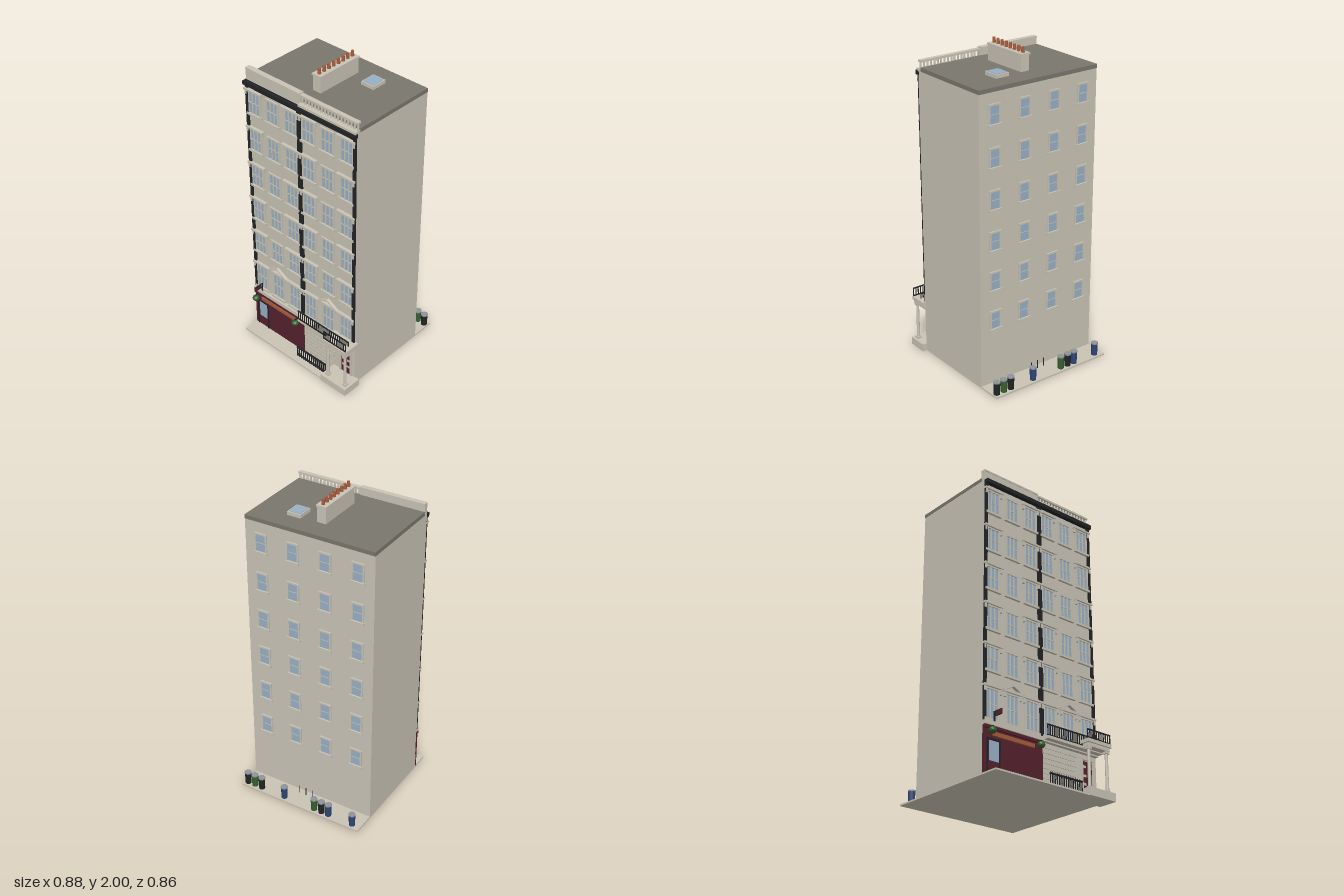
import * as THREE from 'three';

const mat = (name, color) => {
  const m = new THREE.MeshStandardMaterial({ color });
  m.name = name;
  return m;
};

export function createModel() {
  const stone = mat('stone', 0xc9c3b5), roofGrey = mat('roofGrey', 0x79766c), black = mat('black', 0x222325);
  const glass = mat('glass', 0x97b0c5), maroon = mat('maroon', 0x55212d), clay = mat('terracotta', 0xa55c3c);
  const green = mat('green', 0x35602f), blue = mat('blue', 0x2d4577), lidGrey = mat('lidGrey', 0x8f9498);
  green.flatShading = true;

  const root = new THREE.Group();
  root.name = 'townhouses';
  const group = (name, parent = root) => {
    const g = new THREE.Group();
    g.name = name;
    parent.add(g);
    return g;
  };
  const add = (parent, name, geo, material, x = 0, y = 0, z = 0) => {
    const m = new THREE.Mesh(geo, material);
    m.name = name;
    m.position.set(x, y, z);
    parent.add(m);
    return m;
  };
  // box given by its limits on each axis
  const box = (parent, name, material, [x0, x1], [y0, y1], [z0, z1]) =>
    add(parent, name, new THREE.BoxGeometry(x1 - x0, y1 - y0, z1 - z0), material,
      (x0 + x1) / 2, (y0 + y1) / 2, (z0 + z1) / 2);
  const cyl = (parent, name, material, r0, r1, [y0, y1], x, z, n = 12) =>
    add(parent, name, new THREE.CylinderGeometry(r1, r0, y1 - y0, n), material, x, (y0 + y1) / 2, z);

  // main block, pavement and roof
  box(root, 'pavement', stone, [-0.44, 0.41], [0, 0.01], [-0.43, 0.42]);
  box(root, 'walls', stone, [-0.44, 0.41], [0.01, 1.835], [-0.278, 0.305]);
  box(root, 'roof', roofGrey, [-0.44, 0.41], [1.835, 1.86], [-0.28, 0.28]);
  box(root, 'cornice', black, [-0.44, 0.412], [1.81, 1.835], [0.3, 0.333]);
  for (const [a, b] of [[-0.44, -0.42], [-0.032, 0], [0.389, 0.409]])
    box(root, 'drainpipeStrip', black, [a, b], [0.31, 1.81], [0.3, 0.315]);
  box(root, 'storeyBand', stone, [-0.44, 0.41], [0.285, 0.31], [0.3, 0.33]);

  // parapet on the left-hand house, balustrade on the other
  box(root, 'parapet', stone, [-0.44, -0.015], [1.835, 1.9], [0.275, 0.303]);
  box(root, 'parapetCap', stone, [-0.44, -0.015], [1.9, 1.91], [0.272, 0.306]);
  const balustrade = group('balustrade');
  box(balustrade, 'balustradeBase', stone, [-0.015, 0.41], [1.835, 1.85], [0.275, 0.32]);
  box(balustrade, 'balustradeRail', stone, [-0.015, 0.41], [1.89, 1.903], [0.275, 0.303]);
  for (let i = 0; i < 18; i++)
    cyl(balustrade, 'baluster', stone, 0.006, 0.006, [1.85, 1.89], -0.005 + i * 0.024, 0.29, 8);

  // front sash window; style: 'lintel', 'plain' or 'pediment'
  const frontWindow = (x, y0, y1, style) => {
    const g = group('frontWindow');
    const w = 0.04;
    box(g, 'pane', glass, [x - w, x + w], [y0, y1], [0.3, 0.307]);
    for (const s of [-1, 1]) {
      box(g, 'jamb', stone, [x + s * 0.046 - 0.006, x + s * 0.046 + 0.006], [y0, y1], [0.3, 0.313]);
      box(g, 'mullion', stone, [x + s * 0.0145 - 0.004, x + s * 0.0145 + 0.004], [y0, y1], [0.3, 0.311]);
    }
    const mid = (y0 + y1) / 2;
    box(g, 'sashBar', stone, [x - w, x + w], [mid - 0.003, mid + 0.003], [0.3, 0.31]);
    box(g, 'sill', stone, [x - 0.058, x + 0.058], [y0 - 0.014, y0], [0.3, 0.32]);
    box(g, 'head', stone, [x - 0.052, x + 0.052], [y1, y1 + 0.01], [0.3, 0.314]);
    if (style === 'plain') return;
    box(g, 'lintel', stone, [x - 0.068, x + 0.068], [y1 + 0.01, y1 + 0.022], [0.3, 0.325]);
    for (const s of [-1, 1])
      box(g, 'console', stone, [x + s * 0.058 - 0.006, x + s * 0.058 + 0.006], [y1 - 0.018, y1 + 0.01], [0.3, 0.32]);
    if (style === 'pediment') {
      const tri = new THREE.Shape([[-0.082, 0], [0.082, 0], [0, 0.045]].map(p => new THREE.Vector2(...p)));
      tri.holes.push(new THREE.Path([[-0.05, 0.007], [0, 0.034], [0.05, 0.007]].map(p => new THREE.Vector2(...p))));
      add(g, 'pediment', new THREE.ExtrudeGeometry(tri, { depth: 0.025, bevelEnabled: false }), stone, x, y1 + 0.02, 0.3);
    }
  };
  for (const cx of [-0.23, 0.195])
    for (let f = 0; f < 6; f++)
      for (const k of [-1, 0, 1]) {
        const y = 0.358 + f * 0.2525;
        frontWindow(cx + k * 0.145, f ? y + 0.005 : 0.328, y + 0.143, k ? 'lintel' : f ? 'plain' : 'pediment');
      }

  // rear windows
  for (const x of [-0.335, -0.122, 0.092, 0.304])
    for (let f = 0; f < 6; f++) {
      const y = 0.365 + f * 0.2545, g = group('rearWindow');
      box(g, 'pane', glass, [x - 0.032, x + 0.032], [y + 0.014, y + 0.12], [-0.281, -0.274]);
      for (const s of [-1, 1])
        box(g, 'jamb', stone, [x + s * 0.036 - 0.005, x + s * 0.036 + 0.005], [y, y + 0.13], [-0.286, -0.274]);
      box(g, 'head', stone, [x - 0.041, x + 0.041], [y + 0.12, y + 0.131], [-0.287, -0.274]);
      box(g, 'sashBar', stone, [x - 0.032, x + 0.032], [y + 0.066, y + 0.069], [-0.283, -0.274]);
      box(g, 'sill', stone, [x - 0.046, x + 0.046], [y, y + 0.014], [-0.292, -0.274]);
    }

  // chimney and skylight
  const chimney = group('chimney');
  box(chimney, 'stack', stone, [-0.045, 0.012], [1.86, 1.955], [-0.145, 0.165]);
  box(chimney, 'stackCap', stone, [-0.05, 0.017], [1.955, 1.967], [-0.15, 0.17]);
  for (let i = 0; i < 8; i++)
    cyl(chimney, 'pot', clay, 0.011, 0.009, [1.967, 2], -0.016, -0.125 + i * 0.0385, 10);
  box(root, 'skylightCurb', stone, [0.112, 0.202], [1.86, 1.882], [-0.16, -0.058]);
  box(root, 'skylightGlass', glass, [0.119, 0.195], [1.88, 1.885], [-0.152, -0.066]);

  // shop front
  const shop = group('shopFront');
  box(shop, 'shopPanel', maroon, [-0.44, -0.015], [0.01, 0.27], [0.3, 0.318]);
  box(shop, 'shopCornice', maroon, [-0.44, -0.015], [0.265, 0.282], [0.3, 0.329]);
  box(shop, 'signBoard', clay, [-0.38, -0.08], [0.228, 0.252], [0.31, 0.327]);
  box(shop, 'shopWindow', glass, [-0.402, -0.336], [0.085, 0.2], [0.315, 0.321]);
  box(shop, 'doorHead', black, [-0.42, -0.325], [0.204, 0.212], [0.31, 0.323]);
  for (const x of [-0.42, -0.333])
    box(shop, 'doorJamb', black, [x, x + 0.008], [0.01, 0.204], [0.31, 0.323]);
  box(shop, 'signPost', black, [-0.373, -0.367], [0.31, 0.372], [0.318, 0.326]);
  box(shop, 'signArm', black, [-0.372, -0.368], [0.366, 0.372], [0.32, 0.387]);
  box(shop, 'hangingSign', maroon, [-0.374, -0.366], [0.34, 0.366], [0.335, 0.386]);
  for (const x of [-0.404, -0.054]) {
    const basket = add(shop, 'hangingBasket', new THREE.IcosahedronGeometry(0.023, 1), green, x, 0.247, 0.35);
    basket.scale.y = 0.9;
    box(shop, 'basketBracket', black, [x - 0.003, x + 0.003], [0.268, 0.273], [0.31, 0.355]);
  }

  // coursed masonry beside the entrance
  for (let r = 0; r < 9; r++)
    for (let c = 0; c < 5; c++) {
      const a = -0.012 + c * 0.056 - (r % 2) * 0.028;
      box(root, 'stoneBlock', stone, [Math.max(a, -0.012), Math.min(a + 0.053, 0.25)],
        [0.014 + r * 0.03, 0.041 + r * 0.03], [0.303, 0.309]);
    }

  // railings along x
  const railing = (name, x0, x1, y0, y1, z, t, spikes) => {
    const g = group(name), n = Math.round((x1 - x0) / 0.018);
    const bars = spikes ? [y0 + 0.01, y1 - 0.018] : [y0, y1 - 0.007];
    for (const y of bars) box(g, 'rail', black, [x0, x1], [y, y + 0.007], [z - t, z + t]);
    for (let i = 0; i <= n; i++) {
      const x = x0 + 0.003 + (x1 - x0 - 0.006) * i / n;
      box(g, 'upright', black, [x - 0.0025, x + 0.0025], [y0, y1 - (spikes ? 0.012 : 0)], [z - 0.0025, z + 0.0025]);
      if (spikes) cyl(g, 'spike', black, 0.005, 0, [y1 - 0.013, y1], x, z, 6);
    }
  };
  railing('areaRailing', -0.015, 0.23, 0.01, 0.1, 0.375, 0.006, true);
  railing('balconyRailing', -0.015, 0.408, 0.31, 0.38, 0.36, 0.003, false);
  railing('porchRailing', 0.247, 0.43, 0.345, 0.403, 0.409, 0.003, false);
  box(root, 'balconySlab', stone, [-0.015, 0.41], [0.293, 0.31], [0.3, 0.365]);

  // entrance porch
  const porch = group('porch');
  box(porch, 'porchStep', stone, [0.237, 0.44], [0, 0.05], [0.3, 0.428]);
  box(porch, 'porchBeam', stone, [0.255, 0.425], [0.3, 0.322], [0.3, 0.408]);
  box(porch, 'porchRoof', stone, [0.245, 0.432], [0.322, 0.343], [0.3, 0.418]);
  for (const x of [0.27, 0.41]) {
    cyl(porch, 'column', stone, 0.0105, 0.009, [0.05, 0.3], x, 0.393, 16);
    box(porch, 'columnBase', stone, [x - 0.014, x + 0.014], [0.05, 0.064], [0.379, 0.407]);
    box(porch, 'columnCapital', stone, [x - 0.014, x + 0.014], [0.286, 0.3], [0.379, 0.407]);
  }
  for (const [a, b] of [[0.288, 0.3], [0.376, 0.388]])
    box(porch, 'doorJamb', stone, [a, b], [0.05, 0.26], [0.3, 0.315]);
  box(porch, 'doorHead', stone, [0.288, 0.388], [0.25, 0.262], [0.3, 0.317]);
  box(porch, 'door', maroon, [0.302, 0.374], [0.05, 0.245], [0.3, 0.308]);
  for (const x of [0.318, 0.358])
    for (const [a, b] of [[0.1, 0.115], [0.15, 0.165], [0.205, 0.22]])
      box(porch, 'doorPanel', stone, [x - 0.01, x + 0.01], [a, b], [0.305, 0.31]);

  // bins and bollards in the rear yard
  const bins = [[0.385, black], [0.333, green], [0.28, black], [0.11, blue],
    [-0.11, green], [-0.163, black], [-0.213, blue], [-0.383, blue]];
  for (const [x, m] of bins) {
    const g = group('bin');
    cyl(g, 'binBody', m, 0.019, 0.021, [0.01, 0.088], x, -0.398, 14);
    cyl(g, 'binLid', lidGrey, 0.0225, 0.0225, [0.088, 0.096], x, -0.398, 14);
  }
  for (const x of [-0.042, 0.005, 0.052])
    cyl(root, 'bollard', black, 0.0025, 0.0025, [0.01, 0.065], x, -0.312, 8);

  return root;
}
